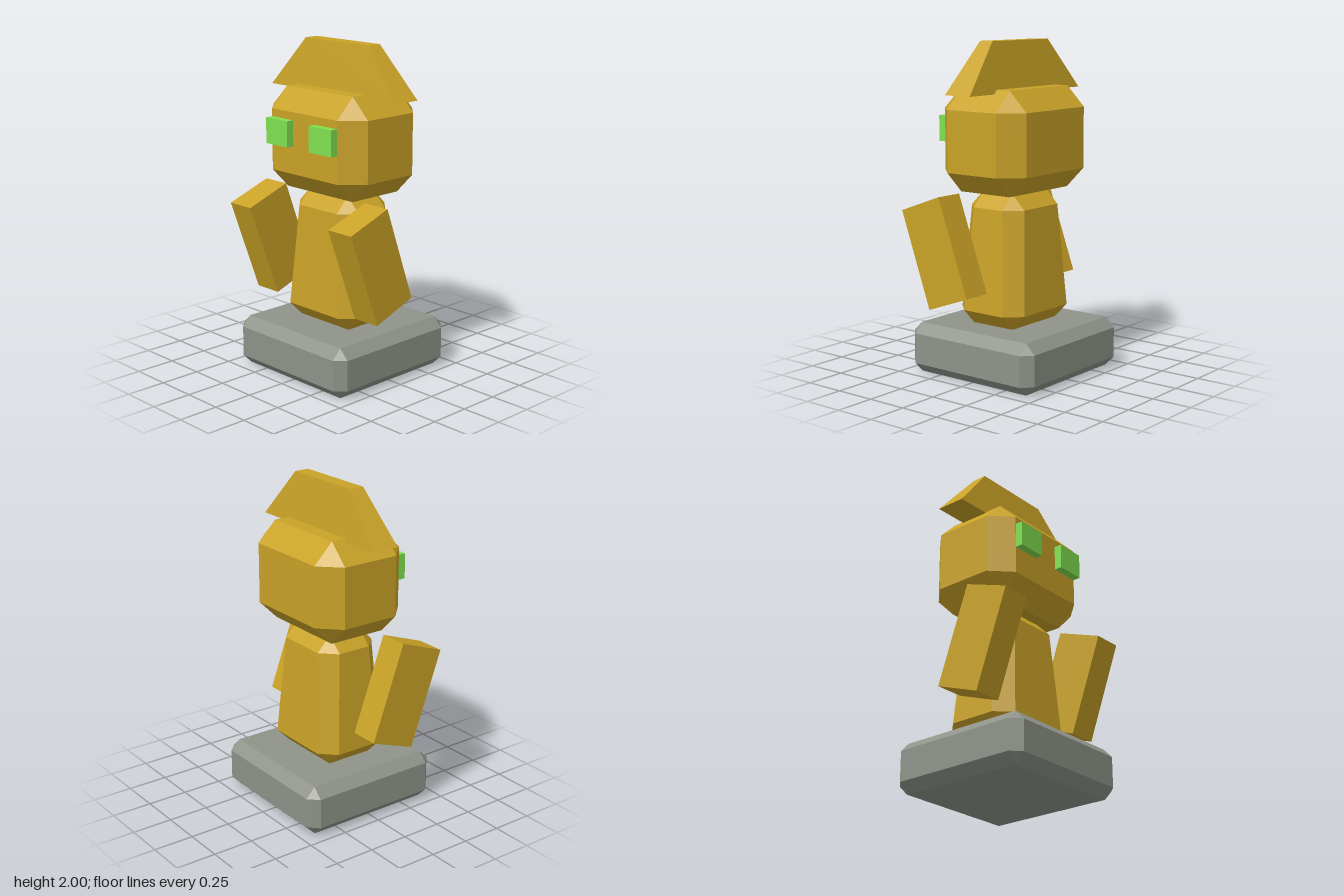
import * as THREE from 'three';
import { ConvexGeometry } from 'three/addons/geometries/ConvexGeometry.js';

const mat = (name, color) => {
  const m = new THREE.MeshStandardMaterial({ color });
  m.name = name;
  return m;
};

// Convex block from levels [y, [x, z] pairs]; every pair is mirrored over x and z.
function block(levels) {
  const points = [];
  for (const [y, pairs] of levels)
    for (const [x, z] of pairs)
      for (const sx of [-1, 1])
        for (const sz of [-1, 1]) points.push(new THREE.Vector3(sx * x, y, sz * z));
  return new ConvexGeometry(points);
}

// Chamfered block: half sizes at the lower and upper rim, bevel c on every edge.
function chamferBlock(y0, y1, [xb, zb], [xt, zt], c) {
  const rim = (x, z) => [[x, z - c], [x - c, z]];
  return block([
    [y0, [[xb - c, zb - c]]],
    [y0 + c, rim(xb, zb)],
    [y1 - c, rim(xt, zt)],
    [y1, [[xt - c, zt - c]]],
  ]);
}

export function createModel() {
  const model = new THREE.Group();
  const gold = mat('gold', 0xc9a227);
  const stone = mat('stone grey', 0x8f9389);
  const green = mat('eye green', 0x80e050);

  const add = (name, geometry, material, x = 0, y = 0, z = 0) => {
    const mesh = new THREE.Mesh(geometry, material);
    mesh.name = name;
    mesh.position.set(x, y, z);
    model.add(mesh);
    return mesh;
  };

  // Plinth, tapered body and head
  add('base', chamferBlock(0, 0.306, [0.46, 0.46], [0.46, 0.46], 0.06), stone);
  add('body', chamferBlock(0.306, 1.112, [0.3, 0.24], [0.253, 0.2], 0.092), gold);
  add('head', chamferBlock(1.112, 1.725, [0.4, 0.306], [0.4, 0.306], 0.122), gold);

  // Crest across the top of the head
  add('crest', block([[1.7, [[0.52, 0.092]]], [2, [[0.263, 0.046]]]]), gold);

  // Eyes and forward-leaning arms
  for (const side of [-1, 1]) {
    const label = side > 0 ? 'left' : 'right';
    add(label + 'Eye', new THREE.BoxGeometry(0.184, 0.155, 0.052), green, side * 0.185, 1.478, 0.328);
    const arm = add(label + 'Arm', new THREE.BoxGeometry(0.183, 0.612, 0.306), gold, side * 0.431, 0.77, 0.187);
    arm.rotation.x = Math.PI / 9;
  }

  return model;
}
